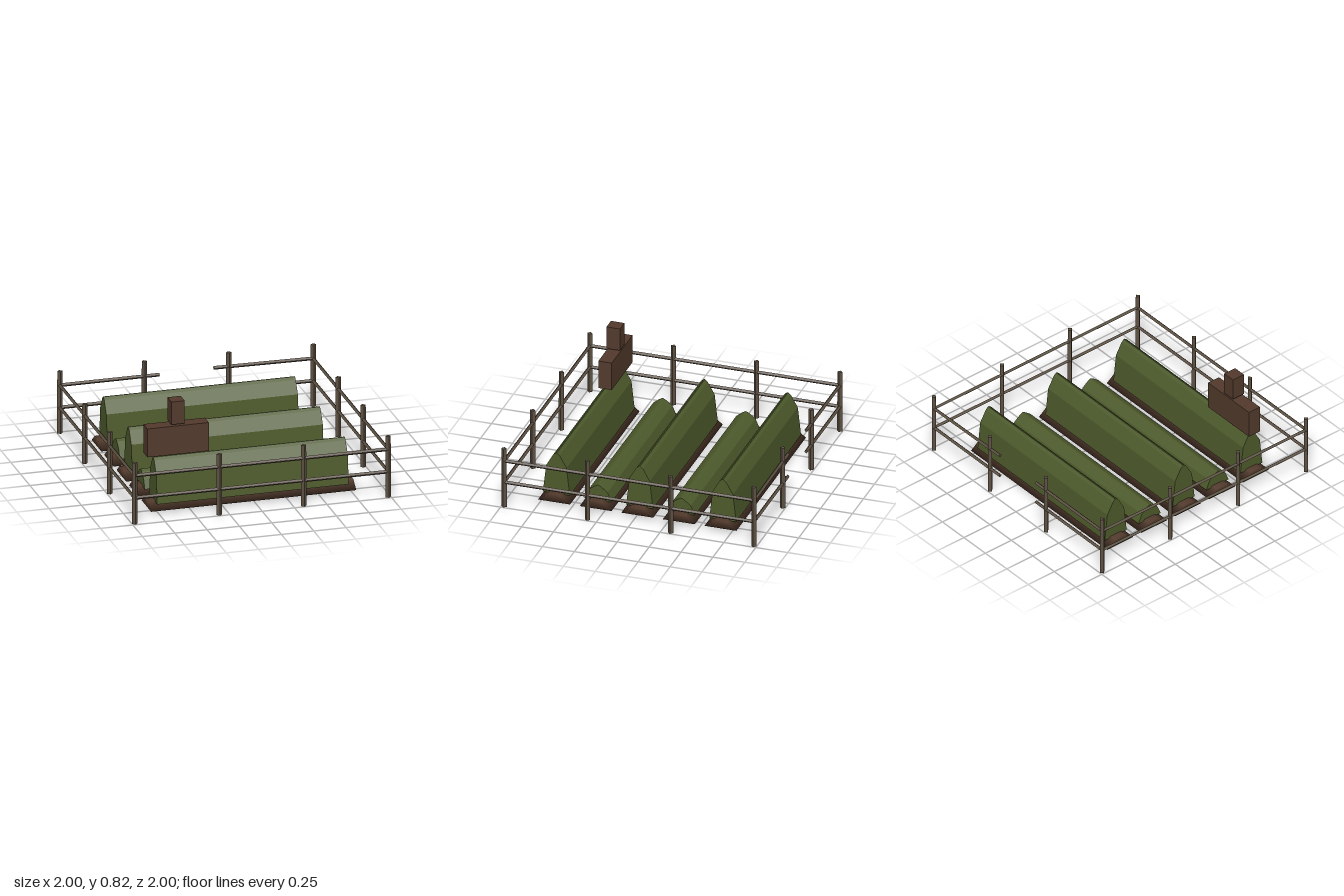
import * as THREE from 'three';
import { mergeVertices } from 'three/addons/utils/BufferGeometryUtils.js';

const mat = (name, color, flatShading) => {
  const m = new THREE.MeshStandardMaterial({ color, flatShading });
  m.name = name;
  return m;
};

// Closed ridge running along x; half profile is [half width, height] from base to top
function ridgeGeometry(half, length) {
  const pts = [...half, ...half.slice().reverse().map(([z, y]) => [-z, y])];
  const shape = new THREE.Shape(pts.map(([z, y]) => new THREE.Vector2(z, y)));
  const g = new THREE.ExtrudeGeometry(shape, { depth: length, bevelEnabled: false });
  return g.translate(0, 0, -length / 2).rotateY(Math.PI / 2);
}

// Shared vertices give softly shaded edges
function soften(g) {
  g.deleteAttribute('normal');
  g.deleteAttribute('uv');
  const merged = mergeVertices(g);
  merged.clearGroups();
  merged.computeVertexNormals();
  return merged;
}

export function createModel() {
  const root = new THREE.Group();
  root.name = 'cropField';
  const soil = mat('soilBrown', 0x523a2c, false);
  const leaf = mat('leafGreen', 0x4d5a2b, true);
  const wood = mat('weatheredWood', 0x5c5042, true);

  const add = (parent, name, geo, material, x = 0, y = 0, z = 0) => {
    const m = new THREE.Mesh(geo, material);
    m.name = name;
    m.position.set(x, y, z);
    parent.add(m);
    return m;
  };

  // Crop rows: soil beds with alternating tall and short plants
  const bed = soften(ridgeGeometry([[0.125, 0], [0.048, 0.06]], 1.585));
  const tall = ridgeGeometry([[0.105, 0.045], [0.08, 0.27], [0.025, 0.365], [0.004, 0.383]], 1.48);
  const short = ridgeGeometry([[0.107, 0.045], [0.075, 0.12], [0.028, 0.157], [0.004, 0.17]], 1.48);
  for (let i = 0; i < 5; i++) {
    const row = new THREE.Group();
    row.name = 'cropRow' + (i + 1);
    add(row, 'soilBed', bed, soil);
    add(row, 'plants', i % 2 ? short : tall, leaf);
    row.position.z = (i - 2) * 0.326;
    root.add(row);
  }

  // Stake with a board and a block on top
  const marker = new THREE.Group();
  marker.name = 'fieldMarker';
  add(marker, 'stake', new THREE.CylinderGeometry(0.018, 0.018, 0.36, 6), soil, 0, 0.48, 0);
  add(marker, 'board', new THREE.BoxGeometry(0.475, 0.225, 0.105), soil, 0, 0.512, 0);
  add(marker, 'headBlock', new THREE.BoxGeometry(0.102, 0.18, 0.105), soil, 0, 0.728, 0);
  marker.position.set(-0.558, 0, 0.635);
  root.add(marker);

  // Fence of square posts and rails set on edge
  const fence = new THREE.Group();
  fence.name = 'fence';
  root.add(fence);
  const E = 0.979, T = 0.326;
  const post = (x, z, h) =>
    add(fence, 'fencePost', new THREE.CylinderGeometry(0.02, 0.021, h, 4), wood, x, h / 2, z);
  const rail = (x0, y0, z0, x1, y1, z1) => {
    const a = new THREE.Vector3(x0, y0, z0), b = new THREE.Vector3(x1, y1, z1);
    const d = b.clone().sub(a);
    const m = add(fence, 'fenceRail', new THREE.CylinderGeometry(0.0145, 0.0145, d.length(), 4), wood);
    m.position.copy(a.add(b).multiplyScalar(0.5));
    m.quaternion.setFromUnitVectors(new THREE.Vector3(0, 1, 0), d.normalize());
  };
  for (const s of [-1, 1]) {
    for (const t of [-1, 1]) {
      post(s * E, t * E, t > 0 ? 0.485 : 0.492);
      post(s * T, t * E, t > 0 ? 0.483 : 0.5);
      post(s * E, t * T, t > 0 ? 0.49 : 0.472);
    }
  }
  for (const y of [0.203, 0.38]) {
    rail(-E, y + 0.002, E, E, y - 0.002, E);
    for (const s of [-1, 1]) {
      rail(s * E, y, -E, s * E, y, E);
      // Back side leaves a gap for the entrance
      rail(s * E, y, -E, s * 0.21, s > 0 && y > 0.3 ? y + 0.008 : y, -E);
    }
  }
  return root;
}
